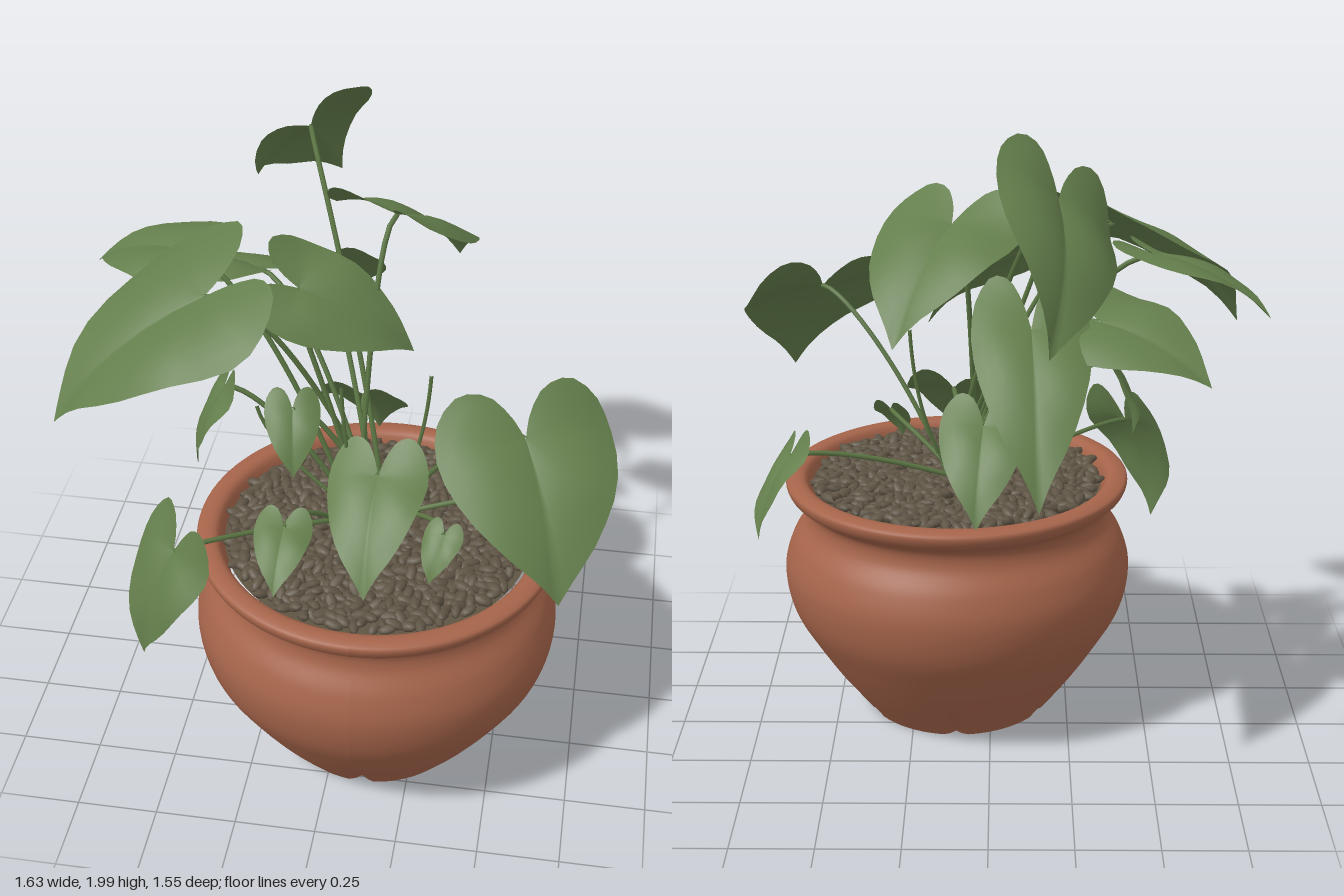
import * as THREE from 'three';
import { mergeGeometries } from 'three/addons/utils/BufferGeometryUtils.js';

const V = (a) => new THREE.Vector3(...a);
const UP = V([0, 1, 0]);
const POT_X = 0.11, POT_Z = 0.22;

// Heart-shaped half outline: x = fraction of width, y = fraction of length from the stem joint
const HALF = new THREE.CatmullRomCurve3([
  [0, 1], [0.09, 0.87], [0.27, 0.65], [0.43, 0.36], [0.5, 0.06], [0.45, -0.18],
  [0.31, -0.32], [0.16, -0.29], [0.05, -0.14], [0, 0],
].map(([u, v]) => V([u, v, 0]))).getPoints(20);
const OUTLINE = [...HALF, ...HALF.slice(1, -1).reverse().map((p) => V([-p.x, p.y, 0]))];

// joint = where the stem meets the blade, roll = twist about the midrib, full = width / length
const LEAVES = [
  { joint: [-0.19, 1.82, -0.38], tip: [-0.16, 1.48, -0.77], roll: 0.73 },
  { joint: [0.11, 1.69, -0.12], tip: [0.27, 1.4, -0.42], full: 1 },
  { joint: [-0.32, 1.42, -0.2], tip: [-0.63, 1.28, -0.39], roll: -0.31, full: 0.97 },
  { joint: [-0.12, 1.42, -0.28], tip: [-0.14, 1.0, -0.65], full: 0.62 },
  { joint: [-0.5, 1.57, -0.02], tip: [-0.82, 1.42, -0.17], roll: 0.19 },
  { joint: [-0.38, 1.6, 0.27], tip: [-0.8, 1.24, 0.44], roll: 0.17, full: 0.97 },
  { joint: [-0.14, 1.56, 0.12], tip: [0.19, 1.34, 0.06], roll: -0.6 },
  { joint: [0.12, 1.05, 0.3], tip: [0.12, 0.8, 0.57], roll: -0.18 },
  { joint: [0.55, 1.35, 0.46], tip: [0.68, 1.0, 0.73], full: 1.12 },
  { joint: [0.63, 0.9, 0.07], tip: [0.72, 0.67, -0.06], roll: -0.55 },
  { joint: [-0.45, 0.87, 0.52], tip: [-0.55, 0.5, 0.57], roll: 0.31 },
  { joint: [0.02, 1.06, -0.09], tip: [0.04, 0.8, -0.29] },
  { joint: [-0.37, 1.2, 0.13], tip: [-0.45, 0.94, 0.18], roll: -0.3 },
  { joint: [-0.15, 1.19, 0.2], tip: [-0.13, 1.02, 0.31] },
  { joint: [-0.13, 0.96, 0.47], tip: [-0.13, 0.84, 0.64] },
  { joint: [0.33, 0.94, 0.41], tip: [0.3, 0.82, 0.49] },
];

// Blade built as rings growing from the stem joint out to the heart outline
function leafGeometry({ joint, tip, roll = 0, full = 0.82 }) {
  const base = V(joint), along = V(tip).sub(base), length = along.length(), width = length * full;
  along.normalize();
  const level = new THREE.Vector3().crossVectors(along, UP).normalize();
  const across = level.applyAxisAngle(along, -roll);
  const normal = new THREE.Vector3().crossVectors(across, along);
  const rings = 6, n = OUTLINE.length, pos = [], index = [];
  for (let r = 0; r <= rings; r++) {
    for (const p of OUTLINE) {
      const u = p.x * r / rings, v = p.y * r / rings;
      const arch = length * (v > 0 ? 0.36 * v * (1 - v) : 0.15 * v * (1 + v));
      const cup = width * (0.28 * Math.abs(u) - 0.75 * u * u);
      const wave = 0.04 * length * Math.sin(9 * v + 4 * u) * Math.abs(u);
      const q = base.clone().addScaledVector(across, u * width)
        .addScaledVector(along, v * length).addScaledVector(normal, arch + cup + wave);
      pos.push(q.x, q.y, q.z);
    }
  }
  for (let r = 0; r < rings; r++) {
    for (let i = 0; i < n; i++) {
      const a = r * n + i, b = r * n + (i + 1) % n;
      if (r > 0) index.push(a, b, a + n);
      index.push(b, b + n, a + n);
    }
  }
  const g = new THREE.BufferGeometry();
  g.setAttribute('position', new THREE.Float32BufferAttribute(pos, 3));
  g.setIndex(index);
  g.computeVertexNormals();
  return g;
}

// Stem arching from the crown of the plant to the leaf joint
function stemGeometry({ joint, tip }, i) {
  const end = V(joint), angle = i * 2.4;
  const root = V([0.08 + 0.05 * Math.cos(angle), 0.76, 0.17 + 0.05 * Math.sin(angle)]);
  const c1 = root.clone().lerp(end, 0.25).setY((root.y + end.y) / 2);
  const c2 = end.clone().addScaledVector(V(tip).sub(end).normalize(), -0.12).lerp(root, 0.12);
  c2.y = end.y + 0.02;
  return new THREE.TubeGeometry(new THREE.CubicBezierCurve3(root, c1, c2, end), 20, 0.008, 6);
}

const lathe = (points) => new THREE.LatheGeometry(points.map(([r, y]) => new THREE.Vector2(r, y)), 96);

// Round-bellied pot wall with flared lip and six shallow notches at the foot
function potGeometry() {
  const profile = new THREE.SplineCurve([
    [0.3, 0], [0.39, 0.12], [0.475, 0.25], [0.54, 0.37], [0.56, 0.49], [0.535, 0.585],
    [0.49, 0.66], [0.49, 0.715], [0.54, 0.757], [0.545, 0.795], [0.485, 0.795], [0.455, 0.7],
  ].map(([r, y]) => new THREE.Vector2(r, y))).getPoints(77);
  const g = lathe(profile.map((p) => [p.x, p.y])), p = g.attributes.position;
  for (let i = 0; i < p.count; i++) {
    const y = p.getY(i);
    if (y > 0.14) continue;
    const sector = Math.PI / 3, angle = Math.atan2(p.getX(i), p.getZ(i));
    const off = Math.abs(angle - Math.round(angle / sector) * sector);
    const dent = 1 - 0.09 * Math.max(0, 1 - off / 0.1) * (1 - y / 0.14);
    p.setX(i, p.getX(i) * dent);
    p.setZ(i, p.getZ(i) * dent);
  }
  g.computeVertexNormals();
  return g;
}

// Small smooth stones scattered in a spiral over the soil
function pebbleGeometry() {
  let seed = 7;
  const rnd = () => (seed = (seed * 16807) % 2147483647) / 2147483647;
  const stone = new THREE.SphereGeometry(1, 8, 5), list = [], count = 750;
  for (let i = 0; i < count; i++) {
    const r = 0.45 * Math.sqrt((i + 0.5) / count), a = i * 2.39996;
    const size = 0.85 + 0.4 * rnd();
    const turn = new THREE.Quaternion().setFromEuler(
      new THREE.Euler((rnd() - 0.5) * 0.8, rnd() * 6.28, (rnd() - 0.5) * 0.8));
    const m = new THREE.Matrix4().compose(
      V([r * Math.cos(a), 0.775 + 0.014 * rnd(), r * Math.sin(a)]), turn,
      V([0.03 * size, 0.013 * size, 0.016 * size]));
    list.push(stone.clone().applyMatrix4(m));
  }
  return mergeGeometries(list);
}

export function createModel() {
  const material = (name, color, side = THREE.FrontSide) => {
    const m = new THREE.MeshStandardMaterial({ color, side });
    m.name = name;
    return m;
  };
  const terracotta = material('terracotta', 0xa5644a);
  const stoneBrown = material('stone brown', 0x5e5444);
  const leafGreen = material('leaf green', 0x647e4c, THREE.DoubleSide);
  const stemGreen = material('stem green', 0x5c7644);

  const model = new THREE.Group();
  model.name = 'pottedPlant';
  const add = (parent, name, geometry, mat) => {
    const mesh = new THREE.Mesh(geometry, mat);
    mesh.name = name;
    parent.add(mesh);
    return mesh;
  };

  // Pot and its filling
  const pot = new THREE.Group();
  pot.name = 'pot';
  pot.position.set(POT_X, 0, POT_Z);
  model.add(pot);
  add(pot, 'potWall', potGeometry(), terracotta);
  add(pot, 'potFoot', lathe([[0, 0.03], [0.255, 0.03], [0.27, 0.002], [0.3, 0]]), terracotta);
  const soil = add(pot, 'soil', new THREE.CircleGeometry(0.465, 64), stoneBrown);
  soil.rotation.x = -Math.PI / 2;
  soil.position.y = 0.768;
  add(pot, 'pebbles', pebbleGeometry(), stoneBrown);

  // Foliage
  const plant = new THREE.Group();
  plant.name = 'plant';
  model.add(plant);
  LEAVES.forEach((leaf, i) => {
    add(plant, `leaf${i + 1}`, leafGeometry(leaf), leafGreen);
    add(plant, `stem${i + 1}`, stemGeometry(leaf, i), stemGreen);
  });

  // Young unopened shoots
  [[0.25, 1.3, 0.12], [-0.28, 1.12, 0.1], [0.0, 1.3, 0.22]].forEach(([x, y, z], i) => {
    const curve = new THREE.QuadraticBezierCurve3(
      V([0.09, 0.76, 0.17]), V([0.09 + (x - 0.09) * 0.9, 0.95, z]), V([x, y, z]));
    add(plant, `shoot${i + 1}`, new THREE.TubeGeometry(curve, 14, 0.006, 5), stemGreen);
  });

  return model;
}
